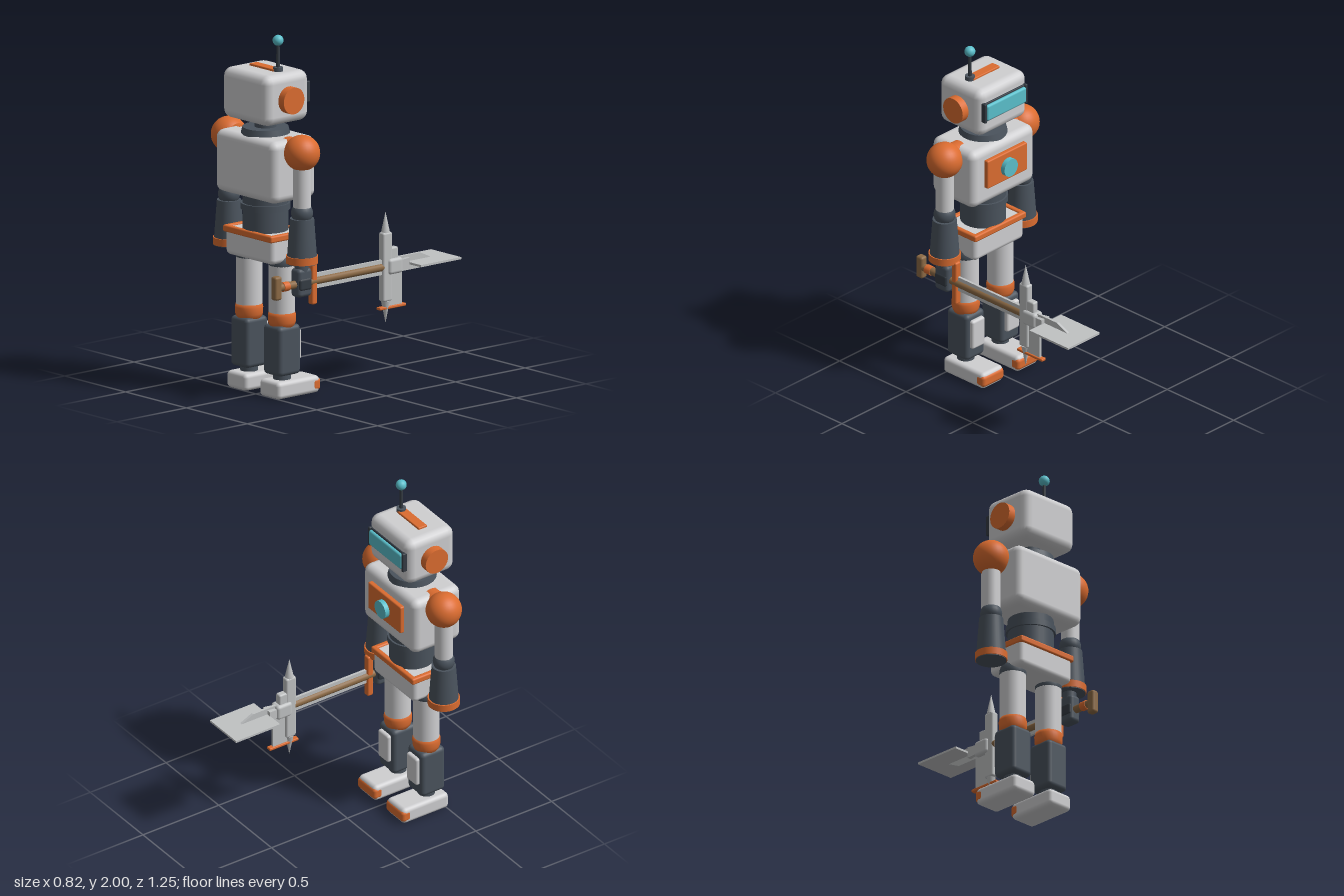
import * as THREE from 'three';
import { RoundedBoxGeometry } from 'three/addons/geometries/RoundedBoxGeometry.js';

const mat = (name, color) => {
  const m = new THREE.MeshStandardMaterial({ color });
  m.name = name;
  return m;
};

export function createModel() {
  const shell = mat('lightGrey', 0xcfcfd1);
  const steel = mat('steelGrey', 0xc0c2c3);
  const orange = mat('orange', 0xdb6c30);
  const dark = mat('slate', 0x4a535d);
  const black = mat('darkSlate', 0x343b43);
  const teal = mat('teal', 0x5abfcb);
  const wood = mat('wood', 0x8c6a45);

  const add = (parent, name, geo, material, x = 0, y = 0, z = 0) => {
    const m = new THREE.Mesh(geo, material);
    m.name = name;
    m.position.set(x, y, z);
    parent.add(m);
    return m;
  };
  const rbox = (w, h, d, r = 0.02, seg = 3) =>
    new RoundedBoxGeometry(w, h, d, seg, Math.min(r, w * 0.49, h * 0.49, d * 0.49));
  // Upright cylinder or cone between two heights
  const cyl = (parent, name, material, rBottom, rTop, y0, y1, x = 0, z = 0, sides = 32) =>
    add(parent, name, new THREE.CylinderGeometry(rTop, rBottom, y1 - y0, sides), material, x, (y0 + y1) / 2, z);
  const group = (parent, name, x = 0, y = 0, z = 0) => {
    const g = new THREE.Group();
    g.name = name;
    g.position.set(x, y, z);
    parent.add(g);
    return g;
  };

  const model = new THREE.Group();
  model.name = 'robotWithPolearm';
  // The robot looks towards -z
  const robot = group(model, 'robot', -0.015, 0, 0.417);

  // Head
  const head = group(robot, 'head');
  add(head, 'skull', rbox(0.38, 0.282, 0.318, 0.05, 2), shell, 0, 1.658, 0);
  const ears = new THREE.CylinderGeometry(0.074, 0.074, 0.47, 32).rotateZ(Math.PI / 2);
  add(head, 'ears', ears, orange, 0, 1.655, 0);
  add(head, 'crest', rbox(0.205, 0.03, 0.056, 0.005), orange, 0, 1.796, 0);
  add(head, 'visorFrame', rbox(0.32, 0.115, 0.02, 0.006), black, 0, 1.671, -0.157);
  add(head, 'visor', rbox(0.305, 0.095, 0.03, 0.012), teal, 0, 1.671, -0.168);
  for (const s of [-1, 1])
    add(head, 'visorBracket', rbox(0.018, 0.118, 0.034, 0.006), black, s * 0.158, 1.671, -0.16);
  cyl(head, 'antennaBase', dark, 0.027, 0.027, 1.79, 1.822, 0.103, 0, 20);
  cyl(head, 'antennaRod', black, 0.011, 0.009, 1.82, 1.96, 0.103, 0, 12);
  add(head, 'antennaBall', new THREE.SphereGeometry(0.03, 24, 16), teal, 0.103, 1.97, 0);

  // Neck and torso
  cyl(robot, 'neck', dark, 0.06, 0.06, 1.44, 1.54);
  cyl(robot, 'collar', dark, 0.14, 0.125, 1.42, 1.475);
  add(robot, 'torso', rbox(0.494, 0.345, 0.318, 0.045, 3), shell, 0, 1.27, 0);
  add(robot, 'chestPlate', rbox(0.31, 0.17, 0.03, 0.008), orange, 0, 1.293, -0.17);
  const core = new THREE.CylinderGeometry(0.052, 0.052, 0.04, 32).rotateX(Math.PI / 2);
  add(robot, 'chestLight', core, teal, 0, 1.291, -0.192);
  cyl(robot, 'waist', dark, 0.125, 0.125, 0.9, 1.12);
  cyl(robot, 'waistRing', dark, 0.136, 0.136, 1.02, 1.055);

  // Pelvis with a belt rim round its top
  add(robot, 'pelvis', rbox(0.388, 0.155, 0.25, 0.028), shell, 0, 0.826, 0);
  for (const s of [-1, 1]) {
    add(robot, 'beltRail', rbox(0.4, 0.038, 0.03, 0.01), orange, 0, 0.894, s * 0.12);
    add(robot, 'beltEnd', rbox(0.03, 0.038, 0.27, 0.01), orange, s * 0.185, 0.894, 0);
  }

  for (const s of [-1, 1]) {
    // Leg
    const leg = group(robot, s > 0 ? 'plusXLeg' : 'minusXLeg', s * 0.135);
    add(leg, 'hip', new THREE.SphereGeometry(0.074, 24, 16), dark, 0, 0.745, 0);
    cyl(leg, 'thigh', shell, 0.072, 0.072, 0.44, 0.732);
    const knee = [[0, 0.385], [0.066, 0.385], [0.076, 0.415], [0.077, 0.45], [0.07, 0.475], [0, 0.478]];
    add(leg, 'knee', new THREE.LatheGeometry(knee.map(p => new THREE.Vector2(...p)), 32), orange);
    add(leg, 'shin', rbox(0.145, 0.278, 0.157, 0.025), dark, 0, 0.261, 0);
    add(leg, 'shinGuard', rbox(0.098, 0.172, 0.04, 0.014), shell, 0, 0.281, -0.081);
    cyl(leg, 'ankle', dark, 0.048, 0.048, 0.08, 0.14);
    add(leg, 'foot', rbox(0.163, 0.095, 0.305, 0.024), shell, 0, 0.0475, -0.056);
    add(leg, 'toeCap', rbox(0.166, 0.07, 0.062, 0.02), orange, 0, 0.0475, -0.183);

    // Arm
    const arm = group(robot, s > 0 ? 'plusXArm' : 'minusXArm', s * 0.3);
    const axle = new THREE.CylinderGeometry(0.071, 0.071, 0.12, 32).rotateZ(Math.PI / 2);
    add(arm, 'shoulderAxle', axle, orange, -s * 0.06, 1.378, 0);
    add(arm, 'shoulder', new THREE.SphereGeometry(0.099, 32, 20), orange, 0, 1.378, 0);
    cyl(arm, 'upperArm', shell, 0.05, 0.05, 1.06, 1.33);
    add(arm, 'elbow', new THREE.SphereGeometry(0.06, 24, 16), dark, 0, 1.045, 0);
    cyl(arm, 'forearm', dark, 0.084, 0.066, 0.764, 1.015);
    cyl(arm, 'cuff', orange, 0.088, 0.088, 0.768, 0.808);
  }

  // Hand gripping the shaft
  const hand = group(robot, 'hand', 0.295);
  cyl(hand, 'wrist', dark, 0.038, 0.038, 0.7, 0.78, 0, 0, 20);
  add(hand, 'fist', rbox(0.075, 0.16, 0.1, 0.022), dark, 0, 0.66, 0);
  add(hand, 'fingers', rbox(0.084, 0.07, 0.088, 0.015), black, 0, 0.652, 0);

  // Polearm lying along z
  const pole = group(model, 'polearm', 0.28, 0.652, 0);
  const rod = (name, material, r, z0, z1) =>
    add(pole, name, new THREE.CylinderGeometry(r, r, z1 - z0, 20).rotateX(Math.PI / 2), material, 0, 0, (z0 + z1) / 2);
  rod('shaft', wood, 0.022, -0.18, 0.61);
  rod('gripRing', orange, 0.026, 0.515, 0.555);
  add(pole, 'pommel', rbox(0.045, 0.132, 0.05, 0.014), wood, 0, 0, 0.596);
  add(pole, 'guard', rbox(0.04, 0.255, 0.037, 0.01), orange, 0, 0, 0.336);

  // Thin vertical fin through the shaft, ending in a point
  const fin = new THREE.Shape([[-0.315, 0.042], [0.43, 0.042], [0.52, 0], [0.43, -0.042], [-0.315, -0.042]]
    .map(p => new THREE.Vector2(...p)));
  const finGeo = new THREE.ExtrudeGeometry(fin, { depth: 0.015, bevelEnabled: false })
    .translate(0, 0, -0.0075).rotateY(Math.PI / 2);
  add(pole, 'fin', finGeo, steel);
  add(pole, 'flatBlade', new THREE.BoxGeometry(0.248, 0.012, 0.29), steel, 0, 0, -0.48);

  // Head block, collar and crossing spindle
  add(pole, 'headBlock', rbox(0.072, 0.088, 0.1, 0.018), steel, 0, 0, -0.238);
  const collar = new THREE.CylinderGeometry(0.045, 0.036, 0.06, 4, 1).rotateY(Math.PI / 4).rotateX(-Math.PI / 2);
  add(pole, 'headCollar', collar.toNonIndexed(), steel, 0, 0, -0.308).geometry.computeVertexNormals();
  add(pole, 'spindle', rbox(0.045, 0.385, 0.066, 0.012), steel, 0, 0, -0.188);
  cyl(pole, 'topSpike', steel, 0.025, 0.001, 0.19, 0.303, 0, -0.188, 12);
  cyl(pole, 'bottomSpike', steel, 0.001, 0.025, -0.31, -0.19, 0, -0.188, 12);
  add(pole, 'topLug', rbox(0.04, 0.075, 0.066, 0.01), steel, 0, 0.066, -0.232);
  add(pole, 'lowerBlade', new THREE.BoxGeometry(0.016, 0.2, 0.1), steel, 0, -0.13, -0.25);
  add(pole, 'lowerEdge', rbox(0.032, 0.016, 0.19, 0.005), orange, 0, -0.229, -0.231);

  return model;
}
